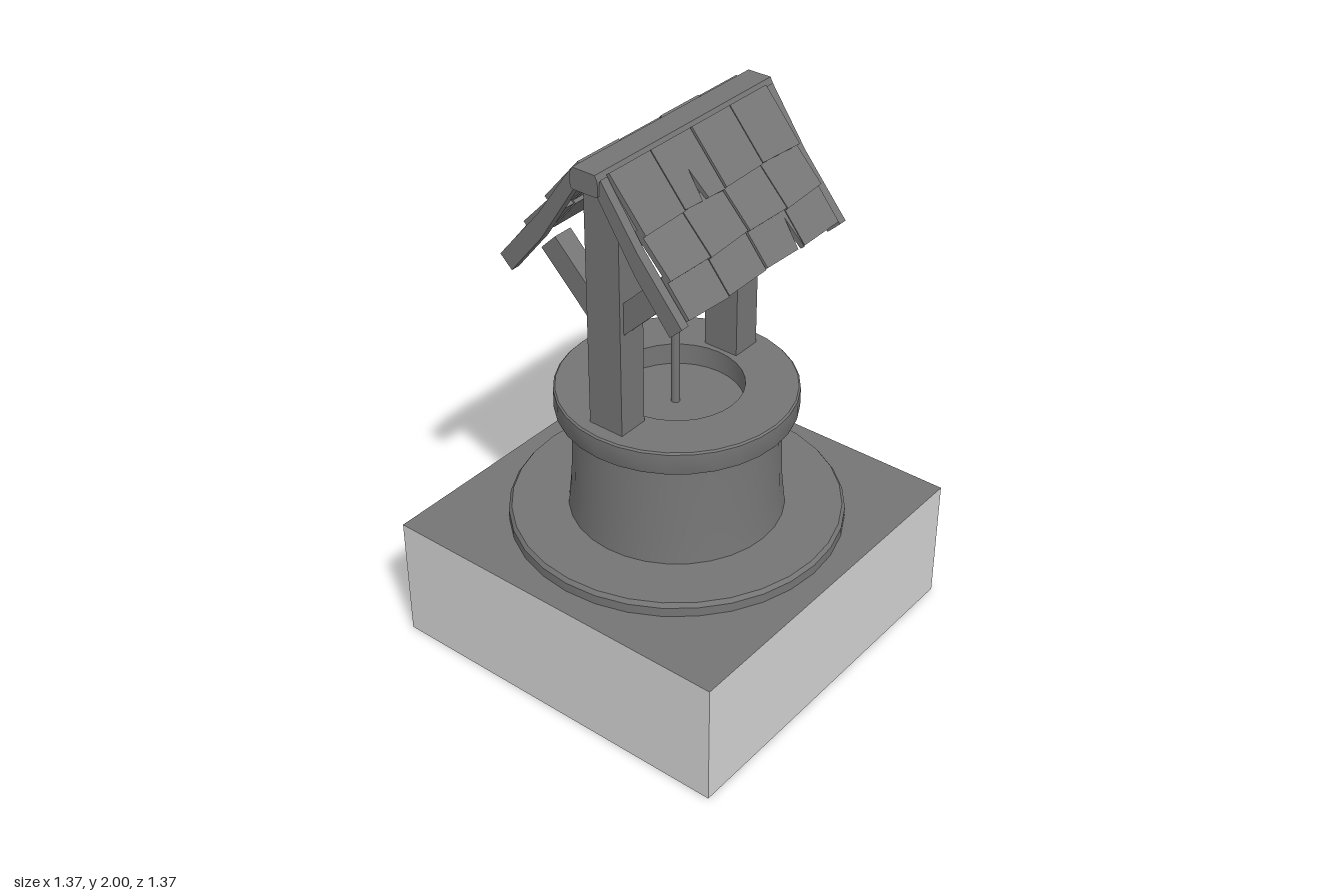
import * as THREE from 'three';
import { toCreasedNormals } from 'three/addons/utils/BufferGeometryUtils.js';

export function createModel() {
  const model = new THREE.Group();
  const dark = new THREE.MeshStandardMaterial({ color: 0x757575 });
  dark.name = 'dark grey';
  const light = new THREE.MeshStandardMaterial({ color: 0xd2d2d2 });
  light.name = 'light grey';

  const add = (name, geometry, material = dark, parent = model) => {
    const mesh = new THREE.Mesh(geometry, material);
    mesh.name = name;
    parent.add(mesh);
    return mesh;
  };
  const box = (name, w, h, d, x, y, z, material = dark) => {
    const mesh = add(name, new THREE.BoxGeometry(w, h, d), material);
    mesh.position.set(x, y, z);
    return mesh;
  };
  const vectors = (points) => points.map(([x, y]) => new THREE.Vector2(x, y));
  const extrude = (points, depth) =>
    new THREE.ExtrudeGeometry(new THREE.Shape(vectors(points)), { depth, bevelEnabled: false });

  // Square base: pale sides and underside, dark top (+y is group 2 of a box)
  box('base', 1.37, 0.475, 1.37, 0, 0.2375, 0, [light, light, dark, light, light, light]);

  // Round stonework
  const well = new THREE.Group();
  well.name = 'well';
  well.position.x = 0.006;
  model.add(well);
  const lathe = (name, points) =>
    add(name, toCreasedNormals(new THREE.LatheGeometry(vectors(points), 32), 0.6), dark, well);
  lathe('footing', [[0.598, 0.475], [0.598, 0.51], [0.587, 0.525], [0.37, 0.525]]);
  lathe('wellWall', [[0.385, 0.52], [0.372, 0.64], [0.36, 0.935], [0, 0.935]]);
  lathe('wellRim', [[0.235, 0.93], [0.42, 0.93], [0.424, 0.94], [0.424, 1.01], [0.418, 1.016],
    [0.235, 1.016], [0.235, 0.93]]);

  // Rope hanging from the ridge
  const rope = add('rope', new THREE.CylinderGeometry(0.016, 0.016, 1.02, 10));
  rope.position.set(0, 1.44, 0);

  // Posts and their diagonal braces
  for (const end of [1, -1]) {
    box('post', 0.138, 0.93, 0.115, 0, 1.475, end * 0.31);
    for (const side of [1, -1]) {
      const brace = box('brace', 0.3, 0.085, 0.075, side * 0.135, 1.525, end * 0.312);
      brace.rotation.z = side * Math.PI / 4;
    }
  }

  // Ridge beam with chamfered top edges
  const ridge = add('ridgeBeam', extrude([[-0.055, 1.93], [-0.045, 1.925], [0.045, 1.925], [0.055, 1.93],
    [0.055, 1.98], [0.045, 2], [-0.045, 2], [-0.055, 1.98]], 0.885));
  ridge.position.z = -0.4425;

  // Slightly bent rafters at both ends of the roof
  const rafter = [[0.045, 1.925], [0.19, 1.7], [0.325, 1.535], [0.372, 1.58], [0.2, 1.785], [0.06, 1.985]];
  for (const side of [1, -1]) {
    for (const z of [0.402, -0.435]) {
      const mesh = add('rafter', extrude(rafter.map(([x, y]) => [side * x, y]), 0.033));
      mesh.position.z = z;
    }
  }

  // Shingles: each row overlaps the one below; two in each slope are cracked
  const rows = [
    { from: [0.045, 1.98], to: [0.185, 1.815] },
    { from: [0.155, 1.825], to: [0.283, 1.69] },
    { from: [0.255, 1.7], to: [0.355, 1.578] },
  ];
  const cracks = { '0,2': 0.1, '2,1': -0.18 };
  const thickness = 0.02;
  for (const side of [1, -1]) {
    rows.forEach(({ from, to }, r) => {
      const down = new THREE.Vector3(side * (to[0] - from[0]), to[1] - from[1], 0);
      const length = down.length();
      down.normalize();
      const out = new THREE.Vector3(-down.y * side, down.x * side, 0);
      const along = new THREE.Vector3(0, 0, side);
      for (let c = 0; c < 4; c++) {
        const z0 = -0.4 + c * 0.2 + 0.003;
        const z1 = z0 + 0.194;
        const skew = 0.006 * (((r * 3 + c * 2) % 4) - 1.5);
        const outline = [[z0, 0], [z1, 0], [z1, length + skew * 0.5]];
        const crack = cracks[`${r},${c}`];
        if (crack !== undefined) {
          outline.push([crack + 0.015, length], [crack, length - 0.11], [crack - 0.015, length]);
        }
        outline.push([z0, length - skew * 0.5]);
        const shingle = add('shingle', extrude(outline.map(([z, s]) => [side * z, s]), thickness));
        shingle.quaternion.setFromRotationMatrix(new THREE.Matrix4().makeBasis(along, down, out));
        shingle.position.set(side * from[0], from[1], 0).addScaledVector(out, (c % 2) * 0.003);
      }
    });
  }
  return model;
}
